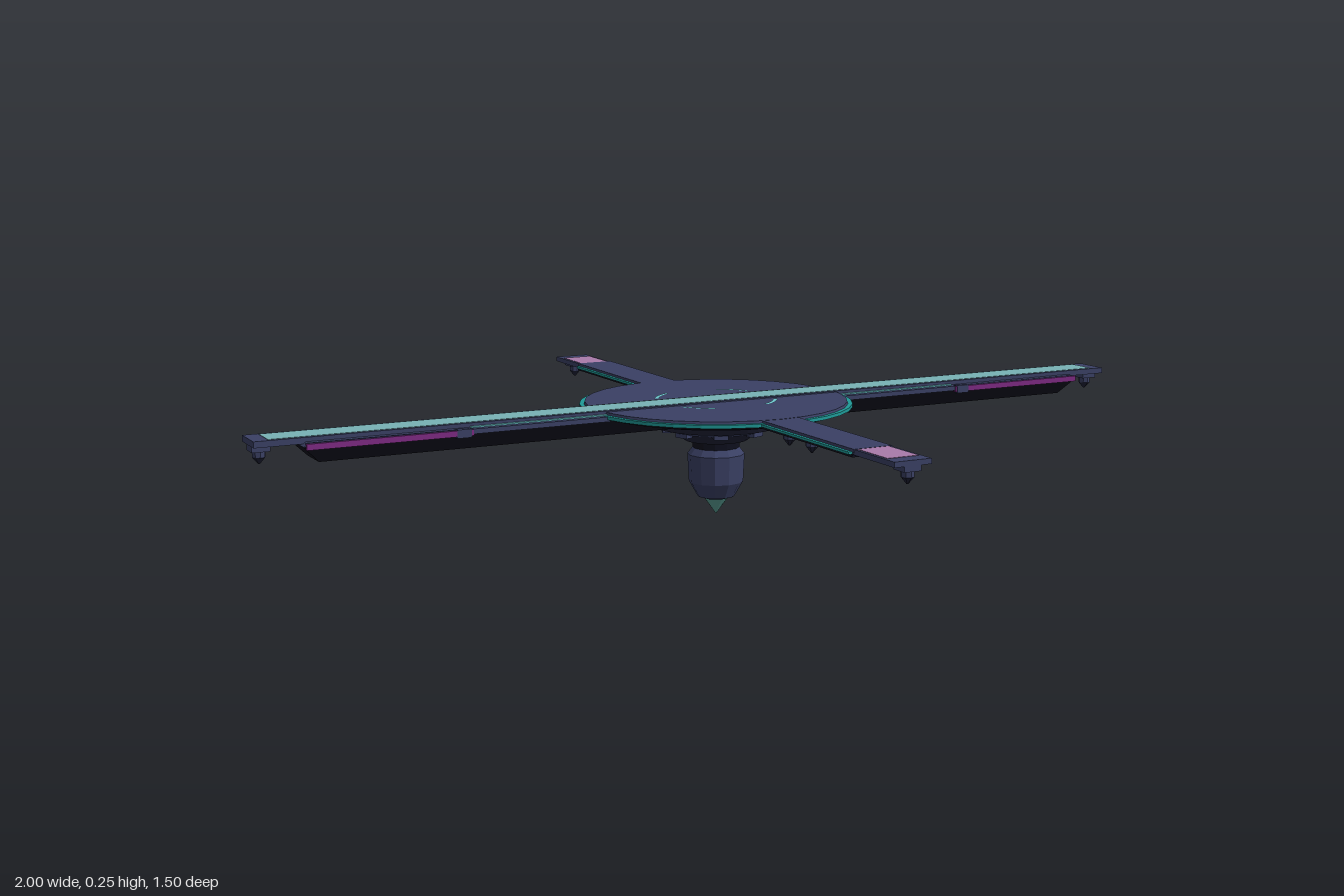
import * as THREE from 'three';

const mat = (name, color) => {
  const m = new THREE.MeshStandardMaterial({ color, flatShading: true });
  m.name = name;
  return m;
};

export function createModel() {
  const hull = mat('slate hull', 0x3a4064);
  const dark = mat('dark underside', 0x1f2136);
  const deep = mat('black keel', 0x0e0f1d);
  const teal = mat('pale teal panel', 0x78b2b5);
  const cyan = mat('cyan marking', 0x6cc6cc);
  const trim = mat('teal trim', 0x1f9a98);
  const pink = mat('mauve panel', 0xa97bab);
  const plum = mat('plum trim', 0x7d2a82);
  const tip = mat('green tip', 0x5aa096);

  const root = new THREE.Group();
  root.name = 'station';

  const add = (parent, name, geo, material, x = 0, y = 0, z = 0) => {
    const m = new THREE.Mesh(geo, material);
    m.name = name;
    m.position.set(x, y, z);
    parent.add(m);
    return m;
  };
  // Box given by its extents
  const box = (parent, name, material, x0, x1, y0, y1, z0, z1) =>
    add(parent, name, new THREE.BoxGeometry(x1 - x0, y1 - y0, z1 - z0), material,
      (x0 + x1) / 2, (y0 + y1) / 2, (z0 + z1) / 2);
  // Box whose underside is narrower than its top
  const taperBox = (parent, name, material, lx, lz, bx, bz, y0, y1) => {
    const g = new THREE.BoxGeometry(2, y1 - y0, 2);
    const p = g.attributes.position;
    for (let i = 0; i < p.count; i++) {
      const top = p.getY(i) > 0;
      p.setX(i, p.getX(i) * (top ? lx : bx));
      p.setZ(i, p.getZ(i) * (top ? lz : bz));
    }
    g.computeVertexNormals();
    return add(parent, name, g, material, 0, (y0 + y1) / 2, 0);
  };
  const drum = (parent, name, material, rTop, rBottom, y0, y1, sides = 32) =>
    add(parent, name, new THREE.CylinderGeometry(rTop, rBottom, y1 - y0, sides), material, 0, (y0 + y1) / 2, 0);
  // Small lamp hanging below an arm
  const lamp = (parent, x, z) => {
    const g = new THREE.Group();
    g.name = 'hangingLamp';
    g.position.set(x, 0, z);
    parent.add(g);
    box(g, 'lampBracket', hull, -0.018, 0.018, 0.225, 0.24, -0.018, 0.018);
    drum(g, 'lampBody', hull, 0.013, 0.013, 0.213, 0.226, 8);
    drum(g, 'lampTip', dark, 0.013, 0.002, 0.2, 0.213, 8);
  };

  // Central disc with stepped underside
  const hub = new THREE.Group();
  hub.name = 'hub';
  root.add(hub);
  drum(hub, 'discTop', hull, 0.278, 0.28, 0.242, 0.248);
  drum(hub, 'discTrim', trim, 0.289, 0.289, 0.236, 0.243);
  drum(hub, 'discUnderside', deep, 0.285, 0.265, 0.229, 0.236);
  drum(hub, 'upperStep', dark, 0.235, 0.222, 0.22, 0.229);
  drum(hub, 'middleStep', hull, 0.19, 0.165, 0.21, 0.22);
  drum(hub, 'lowerStep', dark, 0.145, 0.135, 0.194, 0.21);
  drum(hub, 'innerStep', hull, 0.13, 0.1, 0.184, 0.194);
  drum(hub, 'podCollar', dark, 0.095, 0.068, 0.163, 0.184, 24);
  drum(hub, 'podNeck', deep, 0.05, 0.05, 0.142, 0.165, 12);

  // Arc marks on the disc
  for (let i = 0; i < 4; i++) {
    const arc = add(hub, 'discArc',
      new THREE.RingGeometry(0.121, 0.13, 10, 1, Math.PI / 4 - 0.29 + i * Math.PI / 2, 0.58), cyan, 0, 0.2492, 0);
    arc.rotation.x = -Math.PI / 2;
  }
  // Small blocks round the underside
  for (let i = 0; i < 8; i++) {
    const a = (i + 0.5) * Math.PI / 4;
    const b = add(hub, 'undersideBlock', new THREE.BoxGeometry(0.02, 0.012, 0.03), hull,
      Math.cos(a) * 0.105, 0.186, Math.sin(a) * 0.105);
    b.rotation.y = -a;
  }

  // Hanging pod
  const podProfile = [[0, 0.036], [0.027, 0.036], [0.04, 0.04], [0.058, 0.072], [0.061, 0.132], [0.05, 0.146], [0, 0.146]]
    .map(([r, y]) => new THREE.Vector2(r, y));
  add(hub, 'podBody', new THREE.LatheGeometry(podProfile, 12), hull);
  drum(hub, 'podTip', tip, 0.027, 0, 0, 0.037, 12);

  // Long cross beam
  const beam = new THREE.Group();
  beam.name = 'longBeam';
  root.add(beam);
  box(beam, 'beamPlate', hull, -1, 1, 0.238, 0.2505, -0.04, 0.04);
  box(beam, 'beamPanel', teal, -0.97, 0.97, 0.2505, 0.2513, -0.033, 0.033);
  taperBox(beam, 'beamShoulder', hull, 0.9, 0.056, 0.91, 0.058, 0.235, 0.242);
  taperBox(beam, 'beamKeel', deep, 0.91, 0.058, 0.875, 0.036, 0.2, 0.235);
  for (const sx of [-1, 1]) {
    for (const sz of [-1, 1]) {
      const span = (name, m, a, b, y0, y1, z0, z1) => box(beam, name, m,
        Math.min(sx * a, sx * b), Math.max(sx * a, sx * b), y0, y1, Math.min(sz * z0, sz * z1), Math.max(sz * z0, sz * z1));
      span('tealLine', cyan, 0.275, 0.57, 0.24, 0.2445, 0.0415, 0.048);
      span('plumEdge', plum, 0.57, 0.905, 0.229, 0.241, 0.054, 0.063);
      span('edgeCap', hull, 0.57, 0.905, 0.241, 0.2425, 0.054, 0.0585);
      span('shoulderEdge', hull, 0.275, 0.57, 0.232, 0.242, 0.054, 0.062);
      span('sideClip', hull, 0.575, 0.605, 0.226, 0.243, 0.05, 0.064);
    }
    box(beam, 'beamUnderPanel', teal, sx * 0.935 - 0.025, sx * 0.935 + 0.025, 0.2355, 0.2385, -0.028, 0.028);
    lamp(beam, sx * 0.98, 0);
  }

  // Two short arms, front and back
  for (const side of [0, 1]) {
    const arm = new THREE.Group();
    arm.name = side ? 'backArm' : 'frontArm';
    arm.rotation.y = side * Math.PI;
    root.add(arm);
    box(arm, 'armTop', hull, -0.042, 0.042, 0.241, 0.2475, 0.1, 0.617);
    box(arm, 'armTrim', trim, -0.049, 0.049, 0.237, 0.242, 0.1, 0.61);
    box(arm, 'armUnderside', deep, -0.044, 0.044, 0.232, 0.238, 0.1, 0.615);
    box(arm, 'armEndPlate', hull, -0.04, 0.04, 0.236, 0.2465, 0.6, 0.75);
    box(arm, 'endPanel', pink, -0.034, 0.034, 0.2465, 0.2473, 0.618, 0.718);
    box(arm, 'endUnderPanel', pink, -0.034, 0.034, 0.2345, 0.236, 0.618, 0.712);
    for (const z of [0.31, 0.397, 0.732]) lamp(arm, 0, z);
  }
  return root;
}
